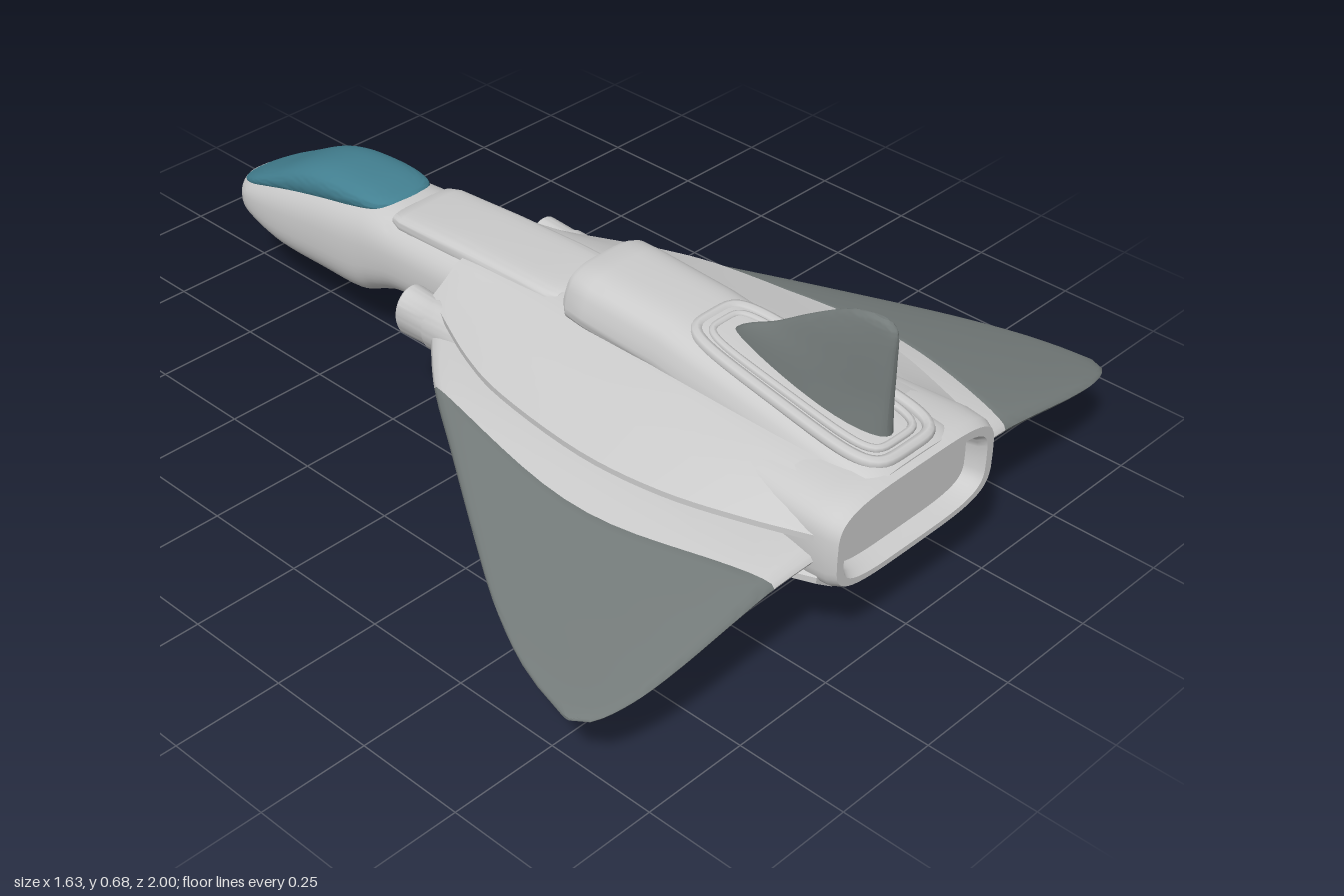
import * as THREE from 'three';
import { toCreasedNormals } from 'three/addons/utils/BufferGeometryUtils.js';

const V = (x, y, z) => new THREE.Vector3(x, y, z);
const lerp = THREE.MathUtils.lerp;
const material = (color) => new THREE.MeshStandardMaterial({ color });
const grey = material(0xcccccc), dark = material(0x747b7a), glass = material(0x438091);

// Piecewise linear lookup in rows [key, value, ...]
function at(rows, key, col = 1) {
  let i = 0;
  while (i < rows.length - 2 && key > rows[i + 1][0]) i++;
  const [a, b] = [rows[i], rows[i + 1]];
  return lerp(a[col], b[col], THREE.MathUtils.clamp((key - a[0]) / (b[0] - a[0]), 0, 1));
}

// Spline through rows of section parameters
function smooth(rows, steps = 5) {
  const out = [];
  const get = (i) => rows[Math.min(Math.max(i, 0), rows.length - 1)];
  for (let i = 0; i < rows.length - 1; i++)
    for (let s = 0; s < steps; s++) {
      const t = s / steps;
      out.push(rows[i].map((p, k) => {
        const q = rows[i + 1][k], m = (q - get(i - 1)[k]) / 2, n = (get(i + 2)[k] - p) / 2;
        return p + m * t + (3 * (q - p) - 2 * m - n) * t * t + (2 * (p - q) + m + n) * t ** 3;
      }));
    }
  out.push(rows[rows.length - 1]);
  return out;
}

// Closed surface through equal-sized loops, capped at both ends
function loft(name, loops, mat, crease = 0.6) {
  const n = loops[0].length, pos = [], idx = [];
  loops.forEach((l) => l.forEach((p) => pos.push(p.x, p.y, p.z)));
  for (let j = 0; j < loops.length - 1; j++)
    for (let i = 0; i < n; i++) {
      const a = j * n + i, b = j * n + (i + 1) % n;
      idx.push(a, b, b + n, a, b + n, a + n);
    }
  [0, loops.length - 1].forEach((j) => {
    const c = loops[j].reduce((s, p) => s.add(p), V(0, 0, 0)).divideScalar(n);
    const k = pos.length / 3;
    pos.push(c.x, c.y, c.z);
    for (let i = 0; i < n; i++) {
      const a = j * n + i, b = j * n + (i + 1) % n;
      j ? idx.push(a, b, k) : idx.push(b, a, k);
    }
  });
  // turn the faces outward when the enclosed volume is negative
  const v = (i) => V(pos[3 * i], pos[3 * i + 1], pos[3 * i + 2]);
  let volume = 0;
  for (let i = 0; i < idx.length; i += 3) volume += v(idx[i]).dot(v(idx[i + 1]).cross(v(idx[i + 2])));
  if (volume < 0) idx.reverse();
  const g = new THREE.BufferGeometry();
  g.setAttribute('position', new THREE.Float32BufferAttribute(pos, 3));
  g.setIndex(idx);
  const mesh = new THREE.Mesh(toCreasedNormals(g, crease), mat);
  mesh.name = name;
  return mesh;
}

// Superellipse section: flare widens the bottom, shear leans the section
function ring([z, w, bottom, top], { power = 2.5, flare = 1, shear = 0, x = 0, n = 48 } = {}) {
  const sp = (v) => Math.sign(v) * Math.abs(v) ** (2 / power);
  return Array.from({ length: n }, (_, i) => {
    const a = (i / n) * Math.PI * 2, s = sp(Math.sin(a));
    const y = lerp(bottom, top, (s + 1) / 2);
    return V(x + sp(Math.cos(a)) * w * lerp(flare, 1, (s + 1) / 2), y, z + shear * (y - 0.18));
  });
}
const rings = (rows, opt) => rows.map((r) => ring(r, opt));

// Hull half profile with a groove along the side for the wing root, then mirrored
function hullSection([z, c, f, g, top, b]) {
  const half = [[0, top], [c * 0.6, top], [c, top - 0.012], [(c + f) / 2, (top + 0.335) / 2 - 0.008],
    [f, 0.335], [f, 0.322], [g, 0.312], [g, 0.245], [f, 0.236], [f, 0.222], [b, 0.187], [0, 0.182]];
  const left = half.slice(1, -1).reverse().map(([x, y]) => [-x, y]);
  return [...half, ...left].map(([x, y]) => V(x, y, z));
}

// Wing planform [x, leading z, trailing z, centre y, half thickness]
const plan = smooth([[0.2, -0.17, 0.955, 0.277, 0.04], [0.35, 0, 0.948, 0.267, 0.037], [0.47, 0.18, 0.945, 0.248, 0.03],
  [0.6, 0.38, 0.94, 0.222, 0.022], [0.7, 0.54, 0.93, 0.202, 0.014], [0.77, 0.68, 0.91, 0.187, 0.009],
  [0.805, 0.79, 0.885, 0.178, 0.006], [0.815, 0.84, 0.86, 0.175, 0.003]]);
const border = (t) => 0.36 + 0.095 * Math.sin(Math.PI * t ** 0.9);

function wingPart(name, mat, side, from, to) {
  const loops = [];
  for (let j = 0; j <= 24; j++)
    loops.push(Array.from({ length: 40 }, (_, i) => {
      const a = (i / 40) * Math.PI * 2, t = (1 - Math.cos(a)) / 2;
      const x = lerp(from(t), to(t), j / 24);
      const edge = Math.sign(Math.sin(a)) * Math.abs(Math.sin(a)) ** 0.7;
      return V(side * x, at(plan, x, 3) + edge * at(plan, x, 4), lerp(at(plan, x, 1), at(plan, x, 2), t));
    }));
  return loft(name, loops, mat, 0.9);
}

// Raised rim around the fin base, following the slope of the spine
function rim(name, w, z0, z1, lift, r) {
  const pts = Array.from({ length: 40 }, (_, i) => {
    const a = (i / 40) * Math.PI * 2, c = Math.cos(a), s = Math.sin(a);
    const t = (1 + Math.sign(s) * Math.abs(s) ** 0.4) / 2;
    const z = lerp(z0, z1, t);
    return V(Math.sign(c) * Math.abs(c) ** 0.4 * w * lerp(0.85, 1.1, t), lerp(0.49, 0.415, (z - 0.45) / 0.52) + lift, z);
  });
  const mesh = new THREE.Mesh(new THREE.TubeGeometry(new THREE.CatmullRomCurve3(pts, true), 100, r, 8, true), grey);
  mesh.name = name;
  return mesh;
}

export function createModel() {
  const model = new THREE.Group();
  model.name = 'spacecraft';

  // Nose and neck
  model.add(loft('noseAndNeck', rings(smooth([
    [-1, 0.015, 0.222, 0.24], [-0.985, 0.055, 0.195, 0.255], [-0.95, 0.092, 0.175, 0.27], [-0.9, 0.108, 0.155, 0.293],
    [-0.8, 0.118, 0.13, 0.33], [-0.65, 0.123, 0.128, 0.368], [-0.53, 0.126, 0.131, 0.388], [-0.46, 0.128, 0.162, 0.394],
    [-0.37, 0.131, 0.194, 0.394], [-0.2, 0.138, 0.2, 0.402], [0, 0.15, 0.195, 0.412], [0.25, 0.16, 0.19, 0.412]]), { power: 2.7 }), grey));

  // Canopy
  model.add(loft('canopy', rings(smooth([
    [-0.99, 0.025, 0.235, 0.25], [-0.97, 0.06, 0.235, 0.264], [-0.92, 0.086, 0.25, 0.293], [-0.85, 0.095, 0.27, 0.33],
    [-0.75, 0.098, 0.29, 0.383], [-0.66, 0.098, 0.31, 0.408], [-0.55, 0.095, 0.34, 0.412], [-0.48, 0.083, 0.36, 0.404],
    [-0.45, 0.055, 0.37, 0.398], [-0.44, 0.02, 0.375, 0.393]]), { power: 2.5 }), glass));

  // Raised panel behind the canopy
  model.add(loft('dorsalPanel', rings([
    [-0.42, 0.07, 0.36, 0.39], [-0.41, 0.09, 0.36, 0.397], [-0.38, 0.099, 0.36, 0.402], [-0.2, 0.102, 0.36, 0.415],
    [0, 0.105, 0.36, 0.423], [0.08, 0.105, 0.36, 0.423], [0.105, 0.095, 0.36, 0.42], [0.115, 0.07, 0.36, 0.414]], { power: 4 }), grey));

  // Hull with upper and lower lips over the wing roots
  model.add(loft('hull', smooth([
    [-0.17, 0.12, 0.195, 0.185, 0.4, 0.13], [-0.1, 0.125, 0.23, 0.2, 0.405, 0.15], [0.05, 0.13, 0.3, 0.23, 0.412, 0.17],
    [0.2, 0.14, 0.345, 0.25, 0.415, 0.19], [0.45, 0.155, 0.373, 0.26, 0.418, 0.2], [0.65, 0.17, 0.355, 0.255, 0.415, 0.2],
    [0.82, 0.185, 0.305, 0.245, 0.41, 0.2], [0.96, 0.2, 0.25, 0.235, 0.402, 0.2]]).map(hullSection), grey));

  // Main exhaust with a deep opening
  model.add(loft('mainExhaust', rings([
    [0.75, 0.245, 0.19, 0.405], [0.93, 0.257, 0.188, 0.408], [0.98, 0.252, 0.19, 0.404], [1, 0.242, 0.197, 0.396],
    [1, 0.222, 0.21, 0.378], [0.985, 0.212, 0.218, 0.368], [0.8, 0.16, 0.24, 0.34]], { power: 4 }), grey));

  // Spine with a forward intake
  model.add(loft('spineIntake', rings([
    [0.36, 0.06, 0.43, 0.47], [0.17, 0.092, 0.422, 0.497], [0.155, 0.098, 0.41, 0.506], [0.17, 0.108, 0.39, 0.512],
    [0.22, 0.11, 0.385, 0.512], [0.42, 0.11, 0.38, 0.502], [0.5, 0.112, 0.37, 0.49], [0.75, 0.118, 0.36, 0.452],
    [0.96, 0.12, 0.35, 0.418], [0.985, 0.11, 0.35, 0.405]], { power: 3.4, flare: 1.35 }), grey));
  model.add(rim('outerFinRim', 0.1, 0.46, 0.965, -0.002, 0.014), rim('innerFinRim', 0.072, 0.49, 0.94, 0.004, 0.009));

  // Tail fin, thickest toward the rear: rows are y, leading z, trailing z, half thickness
  model.add(loft('tailFin', smooth([
    [0.4, 0.49, 0.925, 0.058], [0.49, 0.525, 0.922, 0.042], [0.55, 0.625, 0.922, 0.033], [0.6, 0.7, 0.922, 0.026],
    [0.64, 0.765, 0.922, 0.019], [0.665, 0.815, 0.915, 0.013], [0.676, 0.86, 0.895, 0.004]]).map(([y, z0, z1, h]) =>
    Array.from({ length: 36 }, (_, i) => {
      const a = (i / 36) * Math.PI * 2, t = (1 - Math.cos(a)) / 2;
      return V(Math.sin(a) * h * lerp(0.6, 1.15, t), y, lerp(z0, z1, t));
    })), dark, 0.9));

  // Belly pod with a raked forward intake
  const belly = [[0.18, 0.13, 0.06, 0.165, -0.3], [-0.085, 0.165, 0.04, 0.18, -1], [-0.1, 0.185, 0.025, 0.197, -1],
    [-0.07, 0.195, 0.016, 0.2, -0.9], [0.1, 0.205, 0.006, 0.21, -0.4], [0.25, 0.21, 0.003, 0.22, 0], [0.43, 0.21, 0, 0.22, 0],
    [0.55, 0.2, 0.035, 0.22, 0], [0.7, 0.17, 0.08, 0.22, 0], [0.725, 0.15, 0.095, 0.21, 0]];
  model.add(loft('bellyPod', belly.map((r) => ring(r, { power: 5, flare: 0.68, shear: r[4] })), grey));

  // Small exhaust at the back of the belly
  model.add(loft('bellyExhaust', rings([
    [0.6, 0.1, 0.1, 0.178], [0.78, 0.1, 0.1, 0.178], [0.79, 0.095, 0.104, 0.174],
    [0.79, 0.084, 0.112, 0.166], [0.75, 0.08, 0.115, 0.163]], { power: 4 }), grey));

  // Wings and shoulder tubes, mirrored
  for (const side of [1, -1]) {
    const label = side > 0 ? 'left' : 'right';
    model.add(wingPart(label + 'WingRoot', grey, side, () => 0.2, border));
    model.add(wingPart(label + 'WingPanel', dark, side, border, () => 0.815));
    model.add(loft(label + 'ShoulderTube', rings([
      [0.02, 0.045, 0.225, 0.335], [-0.14, 0.05, 0.22, 0.342], [-0.15, 0.046, 0.224, 0.338], [-0.225, 0.048, 0.221, 0.342],
      [-0.23, 0.045, 0.225, 0.338], [-0.228, 0.038, 0.233, 0.33], [-0.13, 0.034, 0.238, 0.325]], { power: 2, x: side * 0.203 }), grey));
  }
  return model;
}
